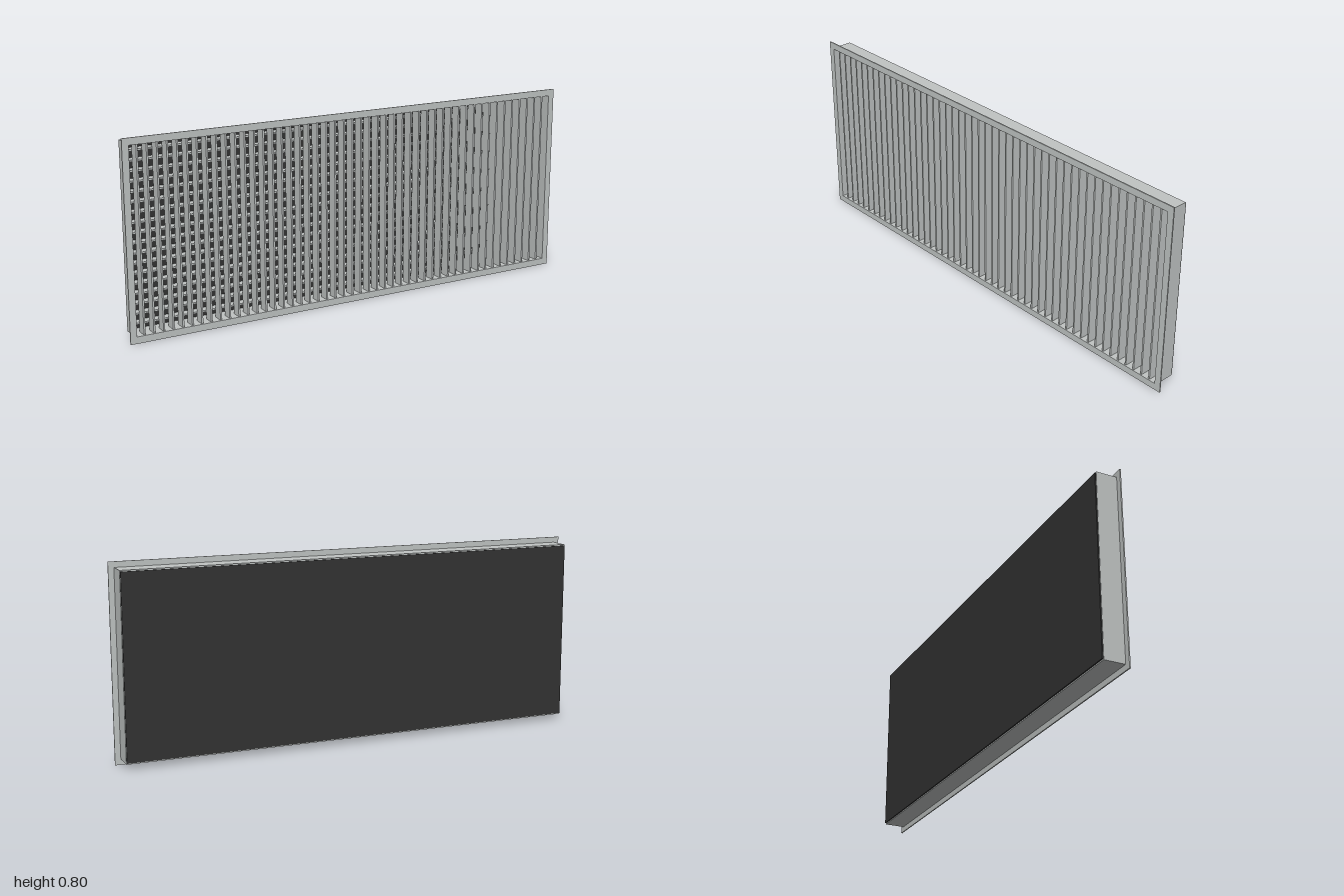
import * as THREE from 'three';

const WIDTH = 2, HEIGHT = 0.8, MID_Y = HEIGHT / 2;
const PITCH = 0.04, BLADE = 0.007;

// Rectangular ring between two half-sizes, extruded from z0 to z1
function ring(outerX, outerY, innerX, innerY, z0, z1) {
  const rect = (path, x, y) => path.moveTo(-x, -y).lineTo(x, -y).lineTo(x, y).lineTo(-x, y).closePath();
  const shape = rect(new THREE.Shape(), outerX, outerY);
  shape.holes.push(rect(new THREE.Path(), innerX, innerY));
  return new THREE.ExtrudeGeometry(shape, { depth: z1 - z0, bevelEnabled: false })
    .translate(0, MID_Y, z0);
}

export function createModel() {
  const model = new THREE.Group();
  model.name = 'ventilationGrille';

  const metal = new THREE.MeshStandardMaterial({ color: 0xc0c4c3 });
  metal.name = 'light grey metal';
  const dark = new THREE.MeshStandardMaterial({ color: 0x333333 });
  dark.name = 'dark backing';

  const add = (name, geometry, material, parent = model) => {
    const mesh = new THREE.Mesh(geometry, material);
    mesh.name = name;
    parent.add(mesh);
    return mesh;
  };

  // Flange around the front and the duct collar behind it
  add('frontFlange', ring(WIDTH / 2, HEIGHT / 2, 0.973, 0.372, 0.043, 0.048), metal);
  add('ductCollar', ring(0.977, 0.377, 0.973, 0.372, -0.043, 0.043), metal);

  // Dark plate closing the back
  add('backPlate', new THREE.BoxGeometry(1.95, 0.744, 0.005).translate(0, MID_Y, -0.0455), dark);

  // Upright blades in front
  const uprights = new THREE.Group();
  uprights.name = 'verticalBlades';
  model.add(uprights);
  const uprightGeometry = new THREE.BoxGeometry(BLADE, 0.744, 0.044);
  for (let i = 0; i < 48; i++) {
    add('verticalBlade', uprightGeometry, metal, uprights).position.set((i - 23.5) * PITCH, MID_Y, 0.021);
  }

  // Level blades behind them
  const levels = new THREE.Group();
  levels.name = 'horizontalBlades';
  model.add(levels);
  const levelGeometry = new THREE.BoxGeometry(1.946, BLADE, 0.036);
  for (let i = 0; i < 18; i++) {
    add('horizontalBlade', levelGeometry, metal, levels).position.set(0, MID_Y + (i - 8.5) * PITCH, -0.021);
  }

  return model;
}
